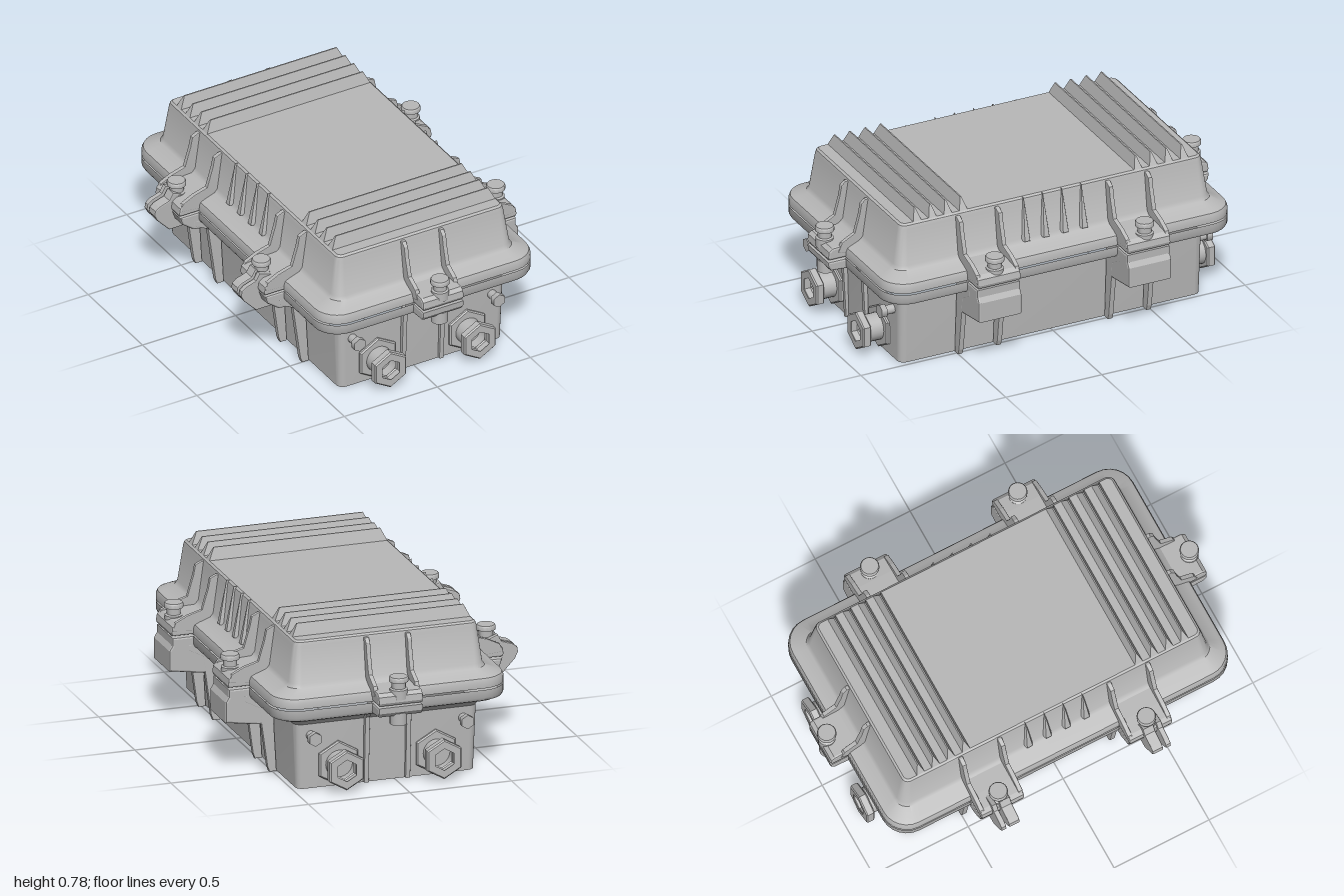
import * as THREE from 'three';
import { toCreasedNormals } from 'three/addons/utils/BufferGeometryUtils.js';

const castGrey = new THREE.MeshStandardMaterial({ color: 0xb8b8b8, side: THREE.DoubleSide });
castGrey.name = 'cast grey';

function add(parent, name, geometry, x = 0, y = 0, z = 0) {
  const mesh = new THREE.Mesh(geometry, castGrey);
  mesh.name = name;
  mesh.position.set(x, y, z);
  parent.add(mesh);
  return mesh;
}

// Thin shell through rounded rectangles [halfX, halfZ, radius, y], bottom to top
function shell(rings, capTop) {
  const pos = [], idx = [], steps = 6, n = 4 * (steps + 1);
  for (const [hx, hz, r, y] of rings) {
    for (let c = 0; c < 4; c++) {
      const sx = c === 0 || c === 3 ? 1 : -1, sz = c < 2 ? 1 : -1;
      for (let s = 0; s <= steps; s++) {
        const a = (c + s / steps) * Math.PI / 2;
        pos.push(sx * (hx - r) + r * Math.cos(a), y, sz * (hz - r) + r * Math.sin(a));
      }
    }
  }
  for (let k = 0; k < rings.length - 1; k++) {
    for (let i = 0; i < n; i++) {
      const a = k * n + i, b = k * n + (i + 1) % n;
      idx.push(a, a + n, b, b, a + n, b + n);
    }
  }
  if (capTop) {
    const base = (rings.length - 1) * n, mid = pos.length / 3;
    pos.push(0, rings[rings.length - 1][3], 0);
    for (let i = 0; i < n; i++) idx.push(base + i, mid, base + (i + 1) % n);
  }
  const g = new THREE.BufferGeometry();
  g.setAttribute('position', new THREE.Float32BufferAttribute(pos, 3));
  g.setIndex(idx);
  return toCreasedNormals(g, 0.6);
}

// Outline in (outward, up) extruded to a width centred on z
function slab(points, width, bevel = 0) {
  const shape = new THREE.Shape(points.map(([x, y]) => new THREE.Vector2(x, y)));
  const g = new THREE.ExtrudeGeometry(shape, {
    depth: width - 2 * bevel, bevelEnabled: bevel > 0, bevelSize: bevel,
    bevelOffset: -bevel, bevelThickness: bevel, bevelSegments: 2,
  });
  return g.translate(0, 0, -width / 2 + bevel);
}

function hexRing(radius, hole, depth) {
  const corners = r => Array.from({ length: 6 }, (_, i) =>
    new THREE.Vector2(r * Math.sin(i * Math.PI / 3), r * Math.cos(i * Math.PI / 3)));
  const shape = new THREE.Shape(corners(radius));
  shape.holes.push(new THREE.Path(corners(hole)));
  return new THREE.ExtrudeGeometry(shape, {
    depth: depth - 0.012, bevelThickness: 0.006, bevelSize: 0.006, bevelOffset: -0.006, bevelSegments: 1,
  }).translate(0, 0, 0.006);
}

// Lid bolt: stem and wider cap
function bolt(parent, x, z) {
  const profile = [[0, 0.46], [0.042, 0.46], [0.042, 0.505], [0.033, 0.51], [0.033, 0.54],
    [0.045, 0.542], [0.045, 0.56], [0.041, 0.566], [0, 0.566]].map(p => new THREE.Vector2(...p));
  add(parent, 'lidBolt', toCreasedNormals(new THREE.LatheGeometry(profile, 24), 0.6), x, 0, z);
}

// Long side: two clamp stations with ribs, and a row of tapered fins
function longSide(parent, hinged) {
  const upperRib = [[0.44, 0.715], [0.46, 0.715], [0.49, 0.7], [0.5, 0.65], [0.53, 0.55],
    [0.6, 0.53], [0.66, 0.5], [0.675, 0.46], [0.56, 0.45], [0.5, 0.5], [0.465, 0.53]];
  const lowerRib = [[0.44, 0.003], [0.475, 0.003], [0.485, 0.03], [0.525, 0.32], [0.6, 0.36], [0.6, 0.39], [0.46, 0.36]];
  const lidLug = [[0.48, 0.436], [0.675, 0.436], [0.68, 0.45], [0.675, 0.48], [0.655, 0.497], [0.58, 0.505], [0.48, 0.51]];
  const clasp = [[0.45, 0.235], [0.53, 0.24], [0.69, 0.265], [0.69, 0.365], [0.675, 0.39], [0.675, 0.428], [0.45, 0.428]];
  const hingeLug = [[0.45, 0.31], [0.53, 0.33], [0.6, 0.34], [0.66, 0.385], [0.675, 0.428], [0.45, 0.428]];
  const hingeTab = [[0.6, 0.5], [0.67, 0.525], [0.69, 0.49], [0.745, 0.472], [0.766, 0.455], [0.77, 0.43],
    [0.755, 0.4], [0.69, 0.33], [0.6, 0.33]];
  for (const s of [-1, 1]) {
    const z = s * 0.39;
    add(parent, 'lidClampLug', slab(lidLug, 0.225, 0.008), 0, 0, z);
    add(parent, hinged ? 'hingeLug' : 'claspBlock', slab(hinged ? hingeLug : clasp, 0.225, 0.01), 0, 0, z);
    bolt(parent, 0.63, z);
    for (const t of [-1, 1]) {
      add(parent, 'lidSideRib', slab(upperRib, 0.022, 0.004), 0, 0, z + t * 0.102);
      add(parent, 'baseSideRib', slab(lowerRib, 0.026, 0.004), 0, 0, z + t * 0.1);
    }
    if (hinged) {
      add(parent, 'hingeThickTab', slab(hingeTab, 0.055, 0.006), 0, 0, s * 0.378);
      add(parent, 'hingeThinTab', slab(hingeTab, 0.025, 0.004), 0, 0, s * 0.433);
    }
  }
  // Fins are three-sided spikes widening toward the foot
  for (let i = 0; i < 4; i++) {
    const g = new THREE.BufferGeometry();
    g.setAttribute('position', new THREE.Float32BufferAttribute(
      [0.44, 0.73, 0, 0.455, 0.52, 0.032, 0.495, 0.52, 0.014,
        0.455, 0.52, -0.032, 0.495, 0.52, -0.014, 0.455, 0.73, 0], 3));
    g.setIndex([0, 1, 5, 5, 1, 2, 5, 2, 4, 5, 4, 3, 0, 5, 3, 1, 3, 4, 1, 4, 2]);
    add(parent, 'sideFin', toCreasedNormals(g, 0.3), 0, 0, -0.15 + i * 0.1);
  }
}

// Short end: bolted lug, ribs, two cable glands and two small hex plugs
function shortEnd(parent) {
  const upperRib = [[0.775, 0.715], [0.8, 0.715], [0.82, 0.695], [0.83, 0.64], [0.855, 0.55],
    [0.92, 0.515], [0.94, 0.47], [0.88, 0.45], [0.83, 0.51], [0.8, 0.53]];
  const lowerRib = [[0.78, 0.003], [0.797, 0.003], [0.815, 0.33], [0.85, 0.37], [0.79, 0.36]];
  const lidLug = [[0.82, 0.436], [0.985, 0.436], [0.992, 0.45], [0.988, 0.48], [0.97, 0.495], [0.82, 0.505]];
  const baseLug = [[0.82, 0.36], [0.9, 0.375], [0.975, 0.38], [0.99, 0.4], [0.992, 0.428], [0.82, 0.428]];
  add(parent, 'lidEndLug', slab(lidLug, 0.22, 0.01));
  add(parent, 'baseEndLug', slab(baseLug, 0.22, 0.01));
  bolt(parent, 0.955, 0);
  add(parent, 'boltNut', new THREE.CylinderGeometry(0.04, 0.04, 0.06, 20), 0.95, 0.362, 0);
  for (const s of [-1, 1]) {
    add(parent, 'lidEndRib', slab(upperRib, 0.022, 0.004), 0, 0, s * 0.102);
    add(parent, 'baseEndRib', slab(lowerRib, 0.024, 0.004), 0, 0, s * 0.102);

    const gland = new THREE.Group();
    gland.name = 'cableGland';
    gland.position.set(0.785, 0.115, s * 0.24);
    gland.rotation.y = Math.PI / 2;
    parent.add(gland);
    add(gland, 'glandBoss', hexRing(0.11, 0.055, 0.022), 0, 0, -0.005);
    add(gland, 'glandNut', hexRing(0.097, 0.06, 0.042), 0, 0, 0.09);
    const neck = add(gland, 'glandNeck', new THREE.CylinderGeometry(0.065, 0.065, 0.1, 24, 1, true), 0, 0, 0.045);
    neck.rotation.x = Math.PI / 2;
    add(gland, 'glandFloor', new THREE.CircleGeometry(0.064, 24), 0, 0, 0.025);

    const plug = new THREE.Group();
    plug.name = 'hexPlug';
    plug.position.set(0.785, 0.265, s * 0.375);
    plug.rotation.z = -Math.PI / 2;
    parent.add(plug);
    add(plug, 'plugStem', new THREE.CylinderGeometry(0.022, 0.022, 0.055, 16), 0, 0.025, 0);
    const head = add(plug, 'plugHead', new THREE.CylinderGeometry(0.034, 0.034, 0.028, 6), 0, 0.062, 0);
    head.rotation.y = Math.PI / 2;
  }
}

export function createModel() {
  const root = new THREE.Group();
  root.name = 'castEnclosure';
  const body = new THREE.Group();
  body.name = 'enclosureBody';
  body.position.x = 0.04;
  root.add(body);

  // Open-bottomed base and lid with a narrow seam between them
  add(body, 'baseShell', shell([
    [0.437, 0.783, 0.035, 0.003], [0.45, 0.79, 0.04, 0.32], [0.465, 0.805, 0.05, 0.34],
    [0.545, 0.875, 0.11, 0.366], [0.566, 0.893, 0.12, 0.376], [0.573, 0.9, 0.125, 0.39], [0.573, 0.9, 0.125, 0.428]]));
  add(body, 'lidShell', shell([
    [0.573, 0.9, 0.125, 0.436], [0.573, 0.9, 0.125, 0.465], [0.566, 0.893, 0.12, 0.482], [0.545, 0.875, 0.11, 0.492],
    [0.49, 0.828, 0.07, 0.512], [0.476, 0.814, 0.05, 0.53], [0.452, 0.788, 0.035, 0.705],
    [0.447, 0.783, 0.032, 0.722], [0.437, 0.773, 0.025, 0.73]], true));

  // Cross fins on the lid, four near each end
  const fin = new THREE.BufferGeometry();
  fin.setAttribute('position', new THREE.Float32BufferAttribute(
    [-0.44, 0.726, 0.022, 0.44, 0.726, 0.022, 0.44, 0.726, -0.022, -0.44, 0.726, -0.022,
      -0.41, 0.788, 0.003, 0.41, 0.788, 0.003, 0.41, 0.788, -0.003, -0.41, 0.788, -0.003], 3));
  fin.setIndex([0, 1, 5, 0, 5, 4, 2, 3, 7, 2, 7, 6, 1, 2, 6, 1, 6, 5, 3, 0, 4, 3, 4, 7, 4, 5, 6, 4, 6, 7]);
  const finGeometry = toCreasedNormals(fin, 0.3);
  for (const s of [-1, 1]) {
    for (let i = 0; i < 4; i++) add(body, 'topFin', finGeometry, 0, 0, s * (0.455 + i * 0.08));
  }

  // Fittings around the four sides
  for (let q = 0; q < 4; q++) {
    const side = new THREE.Group();
    side.name = ['leftSide', 'backEnd', 'rightSide', 'frontEnd'][q];
    side.rotation.y = q * Math.PI / 2;
    body.add(side);
    if (q % 2) shortEnd(side);
    else longSide(side, q === 2);
  }
  return root;
}
